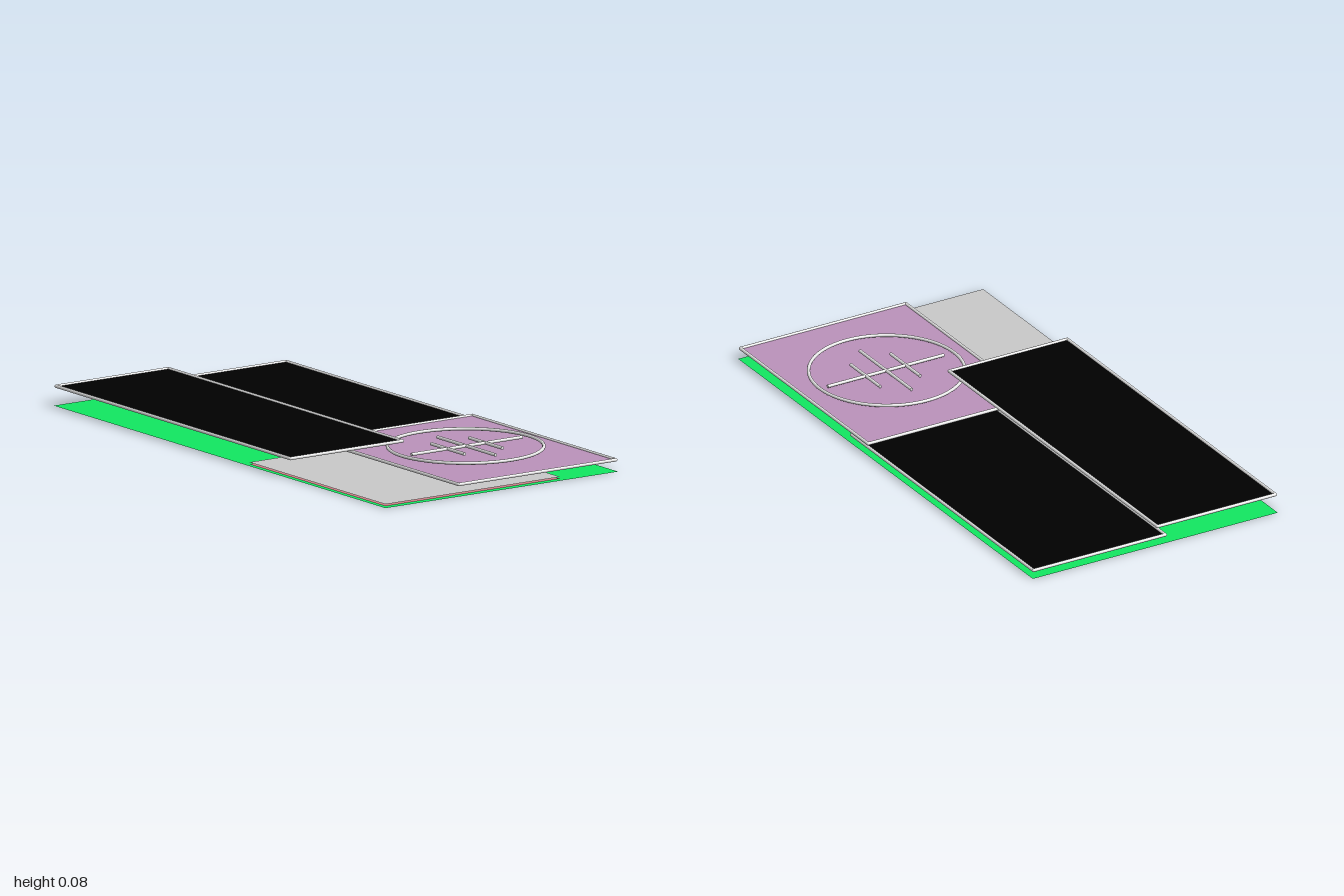
import * as THREE from 'three';

const mat = (name, color, side = THREE.FrontSide) => {
  const m = new THREE.MeshStandardMaterial({ color, side });
  m.name = name;
  return m;
};

export function createModel() {
  const green = mat('green', 0x12ea62, THREE.DoubleSide);
  const grey = mat('grey', 0xc9c9c9, THREE.DoubleSide);
  const rose = mat('rose', 0xc87f86, THREE.DoubleSide);
  const black = mat('black', 0x000000, THREE.DoubleSide);
  const mauve = mat('mauve', 0xbb92bb, THREE.DoubleSide);
  const metal = mat('light metal', 0xececec);
  const R = 0.006; // radius of all rods

  const model = new THREE.Group();
  model.name = 'layeredPanels';

  // Flat sheet spanning x0..x1, z0..z1
  function sheet(parent, name, material, x0, x1, z0, z1, y) {
    const geo = new THREE.PlaneGeometry(x1 - x0, z1 - z0).rotateX(-Math.PI / 2);
    const m = new THREE.Mesh(geo, material);
    m.position.set((x0 + x1) / 2, y, (z0 + z1) / 2);
    m.name = name;
    parent.add(m);
  }

  // Round rod along x or z
  function rod(parent, name, x0, z0, x1, z1, y) {
    const alongX = z0 === z1;
    const geo = new THREE.CylinderGeometry(R, R, Math.hypot(x1 - x0, z1 - z0), 12);
    if (alongX) geo.rotateZ(Math.PI / 2);
    else geo.rotateX(Math.PI / 2);
    const m = new THREE.Mesh(geo, metal);
    m.position.set((x0 + x1) / 2, y, (z0 + z1) / 2);
    m.name = name;
    parent.add(m);
  }

  // Sheet with a rod frame and rounded corners; bounds are the outer edges
  function framedPanel(name, material, x0, x1, z0, z1, y) {
    const g = new THREE.Group();
    g.name = name;
    const [a, b, c, d] = [x0 + R, x1 - R, z0 + R, z1 - R];
    sheet(g, 'panelSheet', material, a, b, c, d, y);
    for (const z of [c, d]) rod(g, 'frameLong', a, z, b, z, y);
    for (const x of [a, b]) {
      rod(g, 'frameShort', x, c, x, d, y);
      for (const z of [c, d]) {
        const s = new THREE.Mesh(new THREE.SphereGeometry(R, 12, 8), metal);
        s.position.set(x, y, z);
        s.name = 'frameCorner';
        g.add(s);
      }
    }
    model.add(g);
  }

  // Ground sheets
  sheet(model, 'base', green, -1, 1, -0.5, 0.5, 0);
  sheet(model, 'padUnderlay', rose, 0.18, 1, -0.25, 0.5, 0.007);
  sheet(model, 'greyPad', grey, 0.18, 1, -0.25, 0.5, 0.014);

  // Overlapping panels, lowest first
  framedPanel('rearPanel', black, -1, 0.245, -0.5, 0.05, 0.029);
  framedPanel('mauvePanel', mauve, 0.122, 1, -0.5, 0.187, 0.042);
  framedPanel('frontPanel', black, -1, 0.424, 0.006, 0.5, 0.07);

  // Ring with crossing bars
  const ornament = new THREE.Group();
  ornament.name = 'ringOrnament';
  const ring = new THREE.Mesh(new THREE.TorusGeometry(0.274, R, 10, 72).rotateX(Math.PI / 2), metal);
  ring.position.set(0.56, 0.056, -0.158);
  ring.name = 'ring';
  ornament.add(ring);
  rod(ornament, 'longBar', 0.56, -0.4, 0.56, 0.075, 0.056);
  for (const [z, half] of [[-0.243, 0.1], [-0.16, 0.175], [-0.08, 0.1]]) {
    rod(ornament, 'crossBar', 0.563 - half, z, 0.563 + half, z, 0.056);
  }
  model.add(ornament);
  return model;
}
